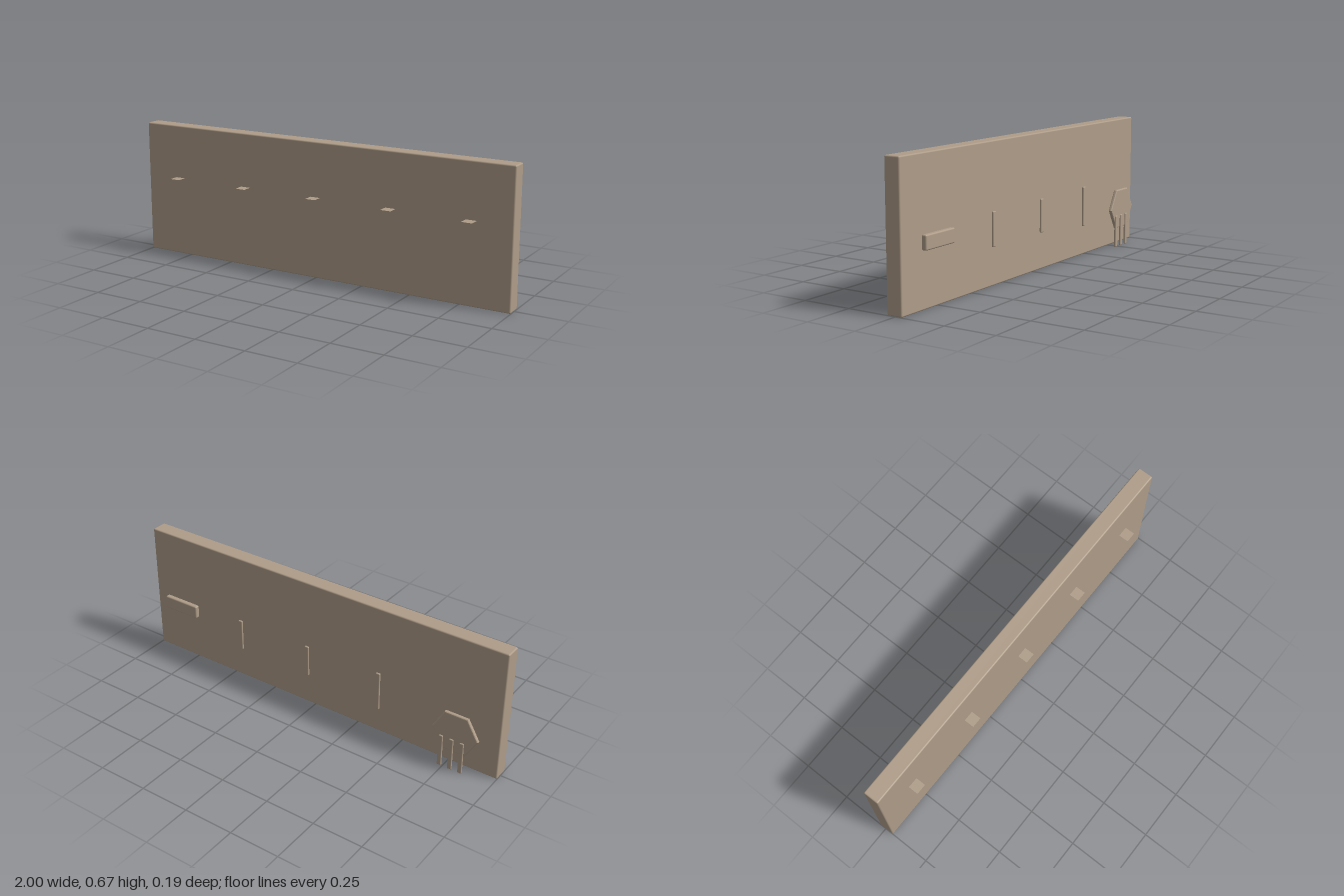
import * as THREE from 'three';
import { RoundedBoxGeometry } from 'three/addons/geometries/RoundedBoxGeometry.js';

export function createModel() {
  const model = new THREE.Group();
  const clay = new THREE.MeshStandardMaterial({ color: 0xae9c88 });
  const thin = new THREE.MeshStandardMaterial({ color: 0xae9c88, side: THREE.DoubleSide });

  const add = (name, geometry, x, y, z, material = clay) => {
    const mesh = new THREE.Mesh(geometry, material);
    mesh.name = name;
    mesh.position.set(x, y, z);
    model.add(mesh);
    return mesh;
  };
  // Soft-edged block given by its centre x and its y and z ranges
  const block = (name, x, width, [y0, y1], [z0, z1], radius) =>
    add(name, new RoundedBoxGeometry(width, y1 - y0, z1 - z0, 3, radius),
      x, (y0 + y1) / 2, (z0 + z1) / 2);

  // Main board
  block('board', 0, 2, [0, 0.667], [-0.035, 0.044], 0.007);

  // Row of thin horizontal tabs along the front
  for (let i = 0; i < 5; i++) {
    const tab = new THREE.PlaneGeometry(0.053, 0.053).rotateX(-Math.PI / 2);
    add('frontTab', tab, -0.8 + 0.4 * i, 0.4, 0.068, thin);
  }

  // Floating plaque behind the board
  block('backPlaque', 0.8, 0.2, [0.268, 0.335], [-0.089, -0.063], 0.007);

  // Upright slats behind the board: x, bottom, top
  const slatDepth = [-0.095, -0.084];
  for (const [x, y0, y1] of [[0.41, 0.2, 0.362], [0.01, 0.2, 0.362], [-0.39, 0.168, 0.367]]) {
    block('backSlat', x, 0.023, [y0, y1], slatDepth, 0.0045);
  }

  // Hexagonal badge with bevelled rim
  const bevel = 0.006;
  const radius = 0.117 - bevel / Math.cos(Math.PI / 6);
  const hexagon = new THREE.Shape(Array.from({ length: 6 }, (_, i) => new THREE.Vector2(
    radius * Math.cos(i * Math.PI / 3), radius * Math.sin(i * Math.PI / 3))));
  add('hexBadge', new THREE.ExtrudeGeometry(hexagon, {
    depth: 0.019 - 2 * bevel, bevelSize: bevel, bevelThickness: bevel, bevelSegments: 3,
  }), -0.8, 0.2, -0.089 + bevel);

  // Three ribbons hanging from the badge
  for (const x of [-0.84, -0.787, -0.733]) {
    block('ribbon', x, 0.022, [0, 0.167], slatDepth, 0.0045);
  }
  return model;
}
